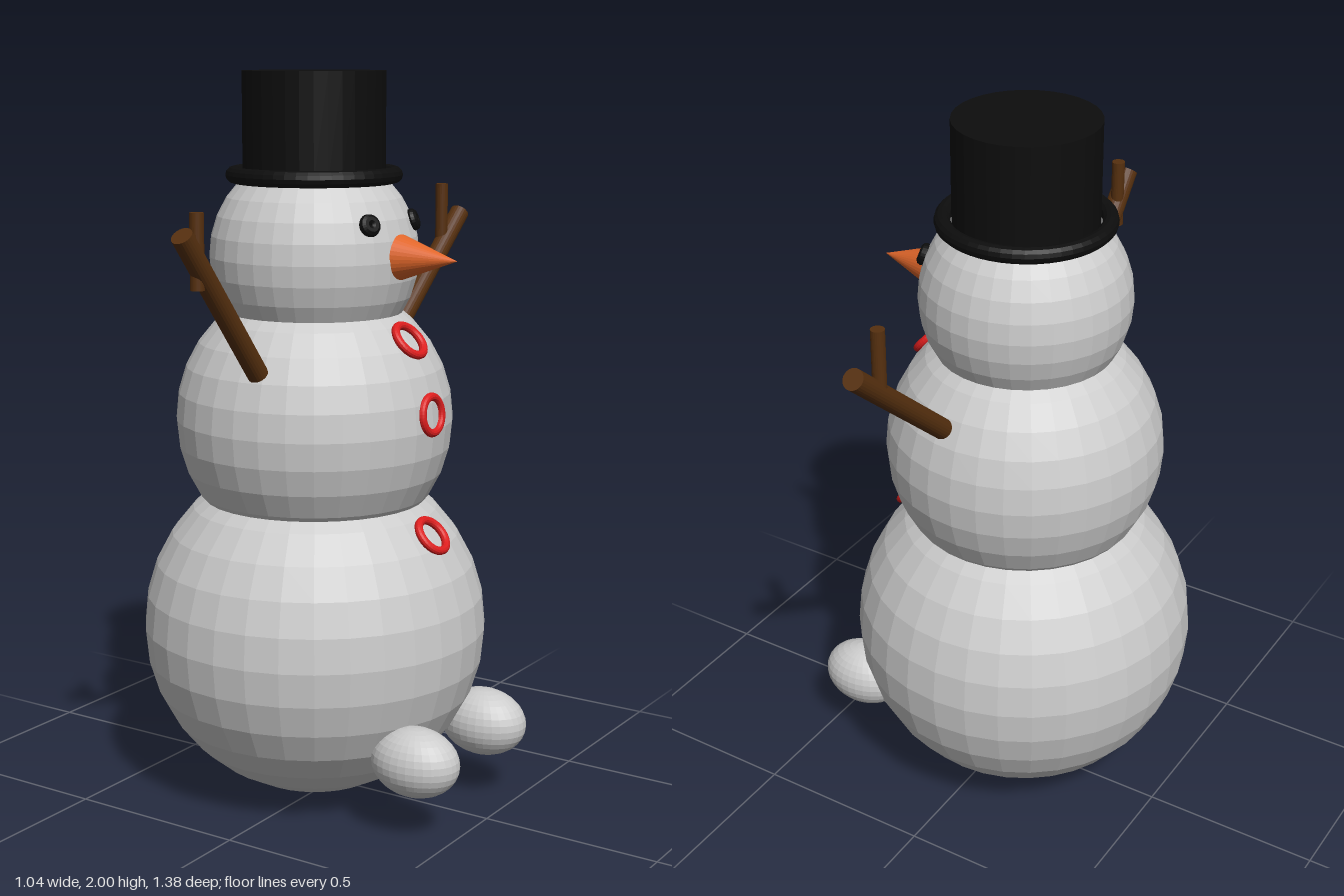
import * as THREE from 'three';

const mat = (name, color) => {
  const m = new THREE.MeshStandardMaterial({ color });
  m.name = name;
  return m;
};

// Facet a geometry so each face has its own normal
const facet = (geo) => {
  const g = geo.toNonIndexed();
  g.computeVertexNormals();
  return g;
};

export function createModel() {
  const snow = mat('snow', 0xcccccc);
  const black = mat('black', 0x0d0d0d);
  const carrot = mat('carrot orange', 0xe0662a);
  const red = mat('button red', 0xdc1e1e);
  const wood = mat('wood brown', 0x56300f);

  const root = new THREE.Group();
  root.name = 'snowman';
  const CX = -0.045, CZ = 0.026; // vertical axis of the body

  const add = (name, geo, material, x, y, z) => {
    const mesh = new THREE.Mesh(facet(geo), material);
    mesh.name = name;
    mesh.position.set(x, y, z);
    root.add(mesh);
    return mesh;
  };

  // Turn a part's local axis to a direction
  const aim = (mesh, axis, dir) => {
    mesh.quaternion.setFromUnitVectors(axis, dir.clone().normalize());
    return mesh;
  };
  const Y = new THREE.Vector3(0, 1, 0);
  const Z = new THREE.Vector3(0, 0, 1);

  // Stacked snowballs
  const ball = (name, r, y) => add(name, new THREE.SphereGeometry(r, 32, 16), snow, CX, y, CZ);
  ball('lowerBody', 0.477, 0.481);
  ball('middleBody', 0.38, 1.067);
  ball('head', 0.284, 1.51);

  // Top hat with a rounded brim
  add('hatCrown', new THREE.CylinderGeometry(0.192, 0.192, 0.28, 32), black, CX, 1.86, CZ);
  add('hatBrim', new THREE.TorusGeometry(0.216, 0.022, 12, 48).rotateX(Math.PI / 2), black, CX, 1.727, CZ);

  // Nose points along +x
  add('nose', new THREE.ConeGeometry(0.062, 0.175, 32).rotateZ(-Math.PI / 2), carrot, 0.3125, 1.52, CZ);

  // Eyes lie on the head surface
  for (const s of [1, -1]) {
    const eye = add(s > 0 ? 'leftSideEye' : 'rightSideEye',
      new THREE.TorusGeometry(0.0155, 0.015, 10, 24), black, 0.2, 1.61, CZ + s * 0.108);
    aim(eye, Z, new THREE.Vector3(0.245, 0.1, s * 0.108));
  }

  // Ring buttons: x, y and upward tilt
  [[0.258, 1.303, 0.72], [0.328, 1.11, 0.11], [0.334, 0.782, 0.72]].forEach(([x, y, tilt], i) => {
    const ring = add('button' + (i + 1), new THREE.TorusGeometry(0.048, 0.0115, 12, 40), red, x, y, CZ);
    ring.rotation.set(0, Math.PI / 2, tilt, 'ZYX');
  });

  // Stick arms with one upright twig each
  const stick = (name, r, a, b) => {
    const d = b.clone().sub(a);
    const m = a.clone().add(b).multiplyScalar(0.5);
    return aim(add(name, new THREE.CylinderGeometry(r, r, d.length(), 24), wood, m.x, m.y, m.z), Y, d);
  };
  const V = (x, y, z) => new THREE.Vector3(x, y, z);
  stick('armPositiveZ', 0.028, V(0.005, 1.235, 0.36), V(0.005, 1.617, 0.668));
  stick('armNegativeZ', 0.028, V(0.005, 1.256, -0.306), V(0.005, 1.578, -0.675));
  stick('twigPositiveZ', 0.018, V(0, 1.478, 0.602), V(0, 1.668, 0.602));
  stick('twigNegativeZ', 0.018, V(0, 1.478, -0.577), V(0, 1.668, -0.577));

  // Egg-shaped feet
  for (const s of [1, -1]) {
    add(s > 0 ? 'footPositiveZ' : 'footNegativeZ',
      new THREE.SphereGeometry(0.094, 32, 16).scale(1.34, 1, 1), snow, 0.394, 0.213, 0.02 + s * 0.185);
  }

  return root;
}
